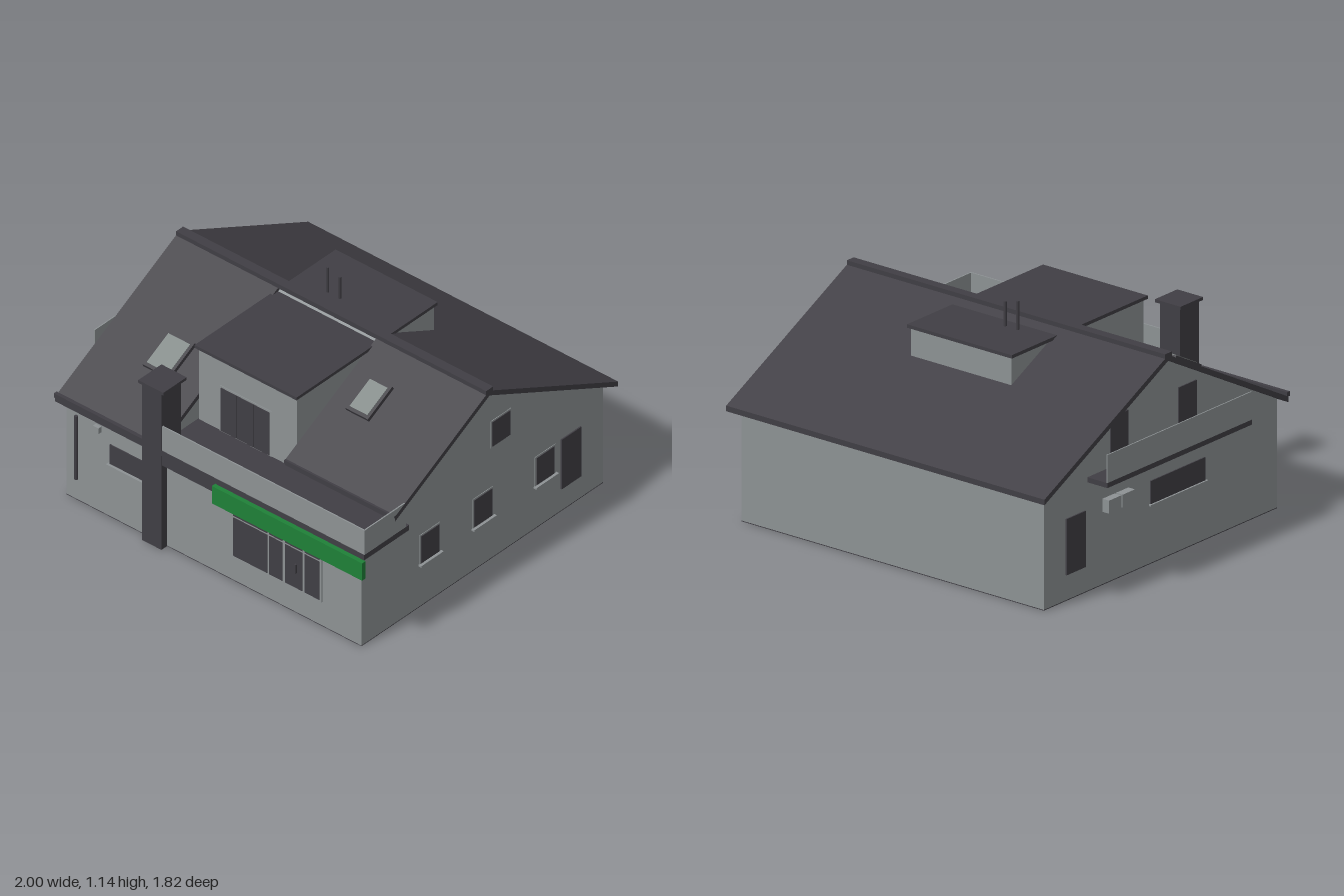
import * as THREE from 'three';

export function createModel() {
  const house = new THREE.Group();
  house.name = 'house';
  const material = (name, color) => {
    const m = new THREE.MeshStandardMaterial({ color });
    m.name = name;
    return m;
  };
  const wall = material('wall grey', 0x8d9294);
  const dark = material('slate', 0x403e44);
  const glass = material('skylight glass', 0x808886);
  const green = material('awning green', 0x1f8038);

  const add = (name, geometry, mat, parent = house) => {
    const mesh = new THREE.Mesh(geometry, mat);
    mesh.name = name;
    parent.add(mesh);
    return mesh;
  };
  // Box given by its limits
  const box = (name, mat, x0, x1, y0, y1, z0, z1) => add(name,
    new THREE.BoxGeometry(x1 - x0, y1 - y0, z1 - z0)
      .translate((x0 + x1) / 2, (y0 + y1) / 2, (z0 + z1) / 2), mat);
  // Profile of [z, y] points swept from x0 to x1
  const sweep = (name, mat, points, x0, x1) => {
    const shape = new THREE.Shape(points.map(p => new THREE.Vector2(p[0], p[1])));
    const g = new THREE.ExtrudeGeometry(shape, { depth: x1 - x0, bevelEnabled: false });
    return add(name, g.rotateY(-Math.PI / 2).translate(x1, 0, 0), mat);
  };

  // Walls: full slope on one side, balcony recess on the other
  const back = [[0, 1.01], [-0.86, 0.585], [-0.86, 0.004]];
  sweep('rightWalls', wall, [[0.85, 0.004], [0.85, 0.55], ...back], -0.88, -0.3);
  sweep('leftWalls', wall, [[0.85, 0.004], [0.85, 0.54], [0.57, 0.54], [0.57, 0.7], ...back], -0.3, 0.94);
  box('floorPlate', dark, -0.88, 0.94, 0, 0.004, -0.86, 0.85);

  // Roof slopes and ridge cap
  const top = 1.03, thick = 0.028, frontSlope = 0.535, backSlope = 0.495;
  const slope = (name, x0, x1, z, k) => {
    const y = top - Math.abs(z) * k;
    const p = [[0, top - thick], [z, y - thick], [z, y], [0, top]];
    sweep(name, dark, z > 0 ? p : p.reverse(), x0, x1);
  };
  slope('backRoof', -0.925, 0.99, -0.91, backSlope);
  slope('frontRoofLong', -0.925, -0.295, 0.88, frontSlope);
  slope('frontRoofShort', 0.31, 0.99, 0.67, frontSlope);
  box('ridgeCap', dark, -0.925, 0.99, 1.015, 1.04, -0.025, 0.025);
  box('longEaveGutter', dark, -0.925, -0.38, 0.56, 0.583, 0.87, 0.89);
  box('shortEaveGutter', dark, 0.31, 0.99, 0.655, 0.675, 0.655, 0.675);

  // Dormer with flat roof
  box('dormer', wall, -0.295, 0.31, 0.55, 0.98, -0.385, 0.585);
  box('dormerRoof', dark, -0.31, 0.32, 0.98, 0.997, -0.4, 0.598);
  box('dormerDoorFrame', wall, -0.165, 0.155, 0.57, 0.83, 0.583, 0.588);
  for (let i = 0; i < 3; i++) {
    box('dormerDoorPane', dark, -0.155 + i * 0.101, -0.057 + i * 0.101, 0.575, 0.82, 0.586, 0.592);
  }

  // Flue pipes
  for (const [x, h] of [[-0.12, 1.14], [-0.045, 1.12]]) {
    add('fluePipe', new THREE.CylinderGeometry(0.008, 0.008, h - 0.99, 12)
      .translate(x, (h + 0.99) / 2, -0.125), dark);
  }

  // Chimney
  box('chimney', dark, -0.38, -0.26, 0, 0.905, 0.75, 0.89);
  box('chimneyCap', dark, -0.395, -0.24, 0.905, 0.92, 0.735, 0.9);

  // Front balcony
  box('balconySlab', dark, -0.3, 0.99, 0.54, 0.57, 0.57, 0.888);
  box('balconyFascia', dark, -0.3, 0.94, 0.485, 0.54, 0.845, 0.886);
  box('balconyFrontPanel', wall, -0.26, 0.99, 0.57, 0.71, 0.878, 0.885);
  box('balconySidePanel', wall, 0.983, 0.99, 0.57, 0.71, 0.59, 0.878);
  box('awning', green, 0.07, 0.998, 0.44, 0.54, 0.887, 0.912);

  // Side balcony
  box('sideBalconySlab', dark, -1, -0.87, 0.545, 0.57, -0.54, 0.52);
  box('sideBalconyPanel', wall, -1, -0.994, 0.57, 0.71, -0.54, 0.52);

  // Skylights lying on the front slopes
  const skylight = (x, z, w, d) => {
    const g = new THREE.Group();
    g.name = 'skylight';
    const length = d * Math.hypot(1, frontSlope);
    add('skylightFrame', new THREE.BoxGeometry(w, 0.03, length), dark, g);
    add('skylightPane', new THREE.BoxGeometry(w - 0.03, 0.006, length - 0.035).translate(0, 0.015, 0), glass, g);
    g.position.set(x, top - z * frontSlope + 0.006, z);
    g.rotation.x = Math.atan(frontSlope);
    house.add(g);
  };
  skylight(-0.55, 0.5, 0.165, 0.185);
  skylight(0.487, 0.272, 0.14, 0.175);

  // Glazed terrace front
  box('terraceFrame', wall, 0.14, 0.7, 0.14, 0.427, 0.85, 0.856);
  for (const [x0, x1] of [[0.155, 0.365], [0.378, 0.458], [0.475, 0.582], [0.595, 0.687]]) {
    box('terracePane', dark, x0, x1, 0.15, 0.37, 0.855, 0.859);
    box('terraceTransom', dark, x0, x1, 0.38, 0.415, 0.855, 0.859);
  }
  box('doorHandle', dark, 0.54, 0.55, 0.24, 0.29, 0.859, 0.868);

  // Other front details
  box('frontWindow', dark, -0.61, -0.38, 0.31, 0.42, 0.85, 0.856);
  box('frontSill', wall, -0.62, -0.38, 0.302, 0.31, 0.85, 0.87);
  add('drainPipe', new THREE.CylinderGeometry(0.009, 0.009, 0.365, 12).translate(-0.813, 0.308, 0.86), dark);
  box('wallLamp', wall, -0.7, -0.665, 0.462, 0.495, 0.85, 0.872);

  // Left side windows and door
  const leftWindow = (z, y0, y1) => {
    box('windowFrame', wall, 0.938, 0.943, y0 - 0.008, y1 + 0.008, z - 0.072, z + 0.072);
    box('windowPane', dark, 0.94, 0.946, y0, y1, z - 0.063, z + 0.063);
  };
  for (const z of [0.367, -0.008, -0.448]) {
    leftWindow(z, 0.25, 0.405);
    box('windowSill', wall, 0.94, 0.958, 0.238, 0.247, z - 0.08, z + 0.08);
  }
  leftWindow(-0.135, 0.645, 0.785);
  box('sideDoor', dark, 0.94, 0.947, 0.13, 0.415, -0.7, -0.56);

  // Right side openings and wall units
  box('sideDoor', dark, -0.887, -0.88, 0.13, 0.41, -0.7, -0.56);
  box('wideWindow', dark, -0.886, -0.88, 0.3, 0.415, -0.08, 0.32);
  box('wideSill', wall, -0.895, -0.88, 0.292, 0.3, -0.09, 0.33);
  for (const z of [-0.31, 0.19]) box('balconyDoor', dark, -0.886, -0.88, 0.57, 0.82, z - 0.065, z + 0.065);
  for (const z of [-0.385, -0.285]) box('wallUnit', wall, -0.92, -0.88, 0.365, 0.43, z - 0.045, z + 0.045);

  return house;
}
